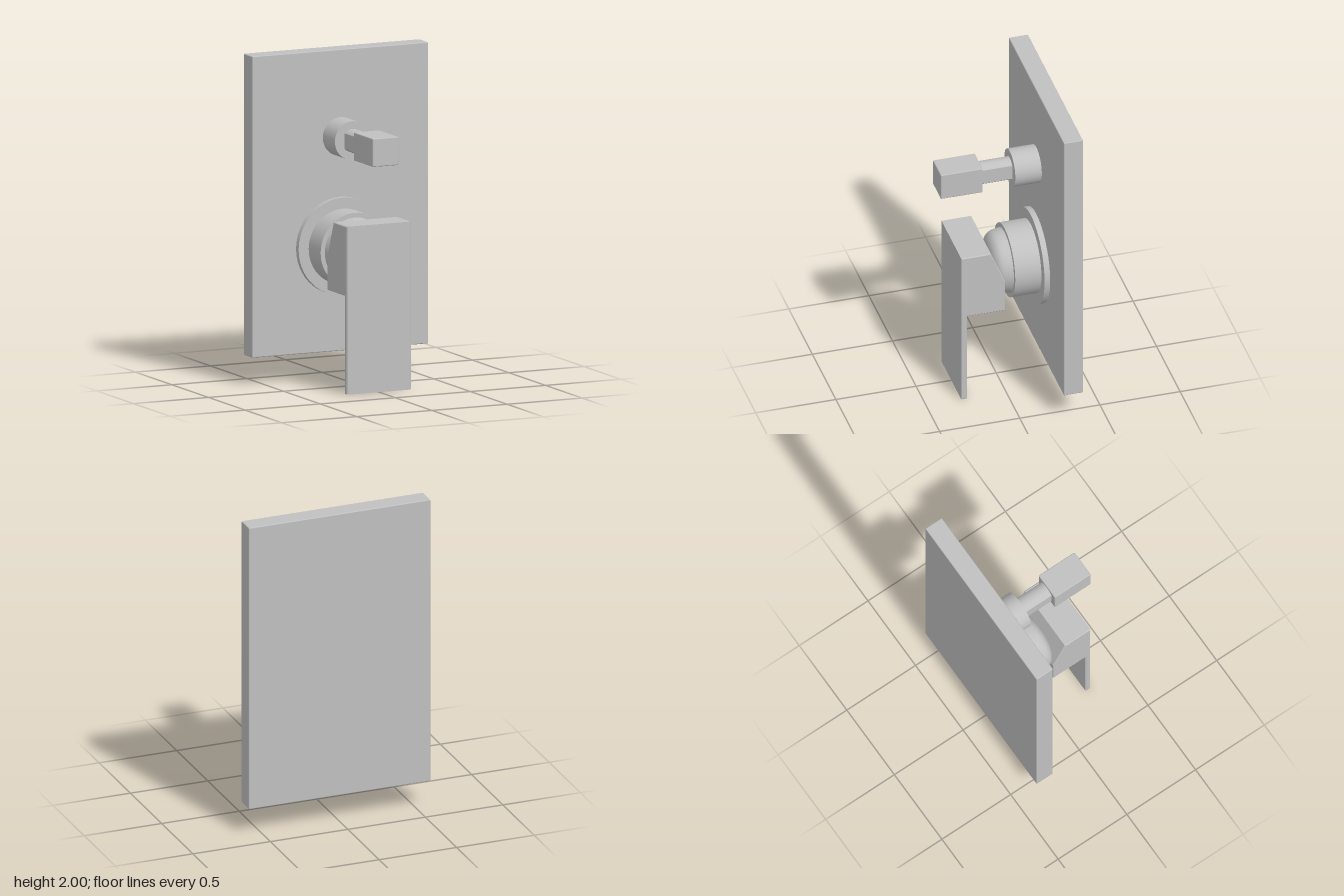
import * as THREE from 'three';
import { RoundedBoxGeometry } from 'three/addons/geometries/RoundedBoxGeometry.js';

export function createModel() {
  const group = new THREE.Group();
  const metal = new THREE.MeshStandardMaterial({ color: 0xc0c0c0 });
  metal.name = 'satin metal';

  const add = (name, geometry, x = 0, y = 0, z = 0) => {
    const mesh = new THREE.Mesh(geometry, metal);
    mesh.name = name;
    mesh.position.set(x, y, z);
    group.add(mesh);
    return mesh;
  };
  // box and forward-facing cylinder given by their extents
  const box = (name, w, y0, y1, z0, z1, r = 0.006) =>
    add(name, new RoundedBoxGeometry(w, y1 - y0, z1 - z0, 2, r), 0, (y0 + y1) / 2, (z0 + z1) / 2);
  const disc = (name, r, y, z0, z1) =>
    add(name, new THREE.CylinderGeometry(r, r, z1 - z0, 48).rotateX(Math.PI / 2), 0, y, (z0 + z1) / 2);

  box('wallPlate', 1.172, 0.17, 2, -0.37, -0.25);

  // Mixer: flange, collar and domed cartridge cover
  const mixerY = 0.81;
  disc('mixerFlange', 0.295, mixerY, -0.252, -0.215);
  disc('mixerCollar', 0.228, mixerY, -0.217, -0.052);
  const dome = new THREE.SplineCurve([
    [0.2, -0.054], [0.19, 0], [0.172, 0.03], [0.135, 0.052], [0.07, 0.064], [0, 0.068],
  ].map(([r, z]) => new THREE.Vector2(r, z))).getPoints(20);
  dome[dome.length - 1].x = 0;
  add('mixerDome', new THREE.LatheGeometry(dome, 48).rotateX(Math.PI / 2), 0, mixerY, 0);

  // Lever: side profile in (z, y), extruded across the width
  const profile = new THREE.Shape([
    [0.28, 0], [0.28, 1.02], [0.095, 1.02], [0.008, 0.805],
    [0.008, 0.595], [0.244, 0.595], [0.244, 0],
  ].map(([z, y]) => new THREE.Vector2(z, y)));
  const width = 0.428, bevel = 0.005;
  const lever = new THREE.ExtrudeGeometry(profile, {
    depth: width - 2 * bevel, bevelEnabled: true, bevelThickness: bevel,
    bevelSize: bevel, bevelOffset: -bevel, bevelSegments: 1,
  });
  lever.translate(0, 0, bevel - width / 2).rotateY(-Math.PI / 2);
  add('lever', lever);

  // Small screw cap under the lever body
  const cap = add('leverScrewCap', new THREE.SphereGeometry(0.04, 24, 8, 0, Math.PI * 2, 0, Math.PI / 2), 0, 0.596, 0.137);
  cap.rotation.x = Math.PI;
  cap.scale.y = 0.55;

  // Diverter: collar, round stem with two side flats, square knob
  const knobY = 1.472;
  disc('diverterCollar', 0.117, knobY, -0.252, -0.085);
  const a = Math.acos(0.052 / 0.07);
  const section = new THREE.Shape();
  section.absarc(0, 0, 0.07, a, Math.PI - a, false);
  section.absarc(0, 0, 0.07, Math.PI + a, 2 * Math.PI - a, false);
  section.closePath();
  add('diverterStem', new THREE.ExtrudeGeometry(section, { depth: 0.2, bevelEnabled: false, curveSegments: 12 }), 0, knobY, -0.088);
  box('diverterKnob', 0.172, 1.386, 1.558, 0.108, 0.37);

  return group;
}
